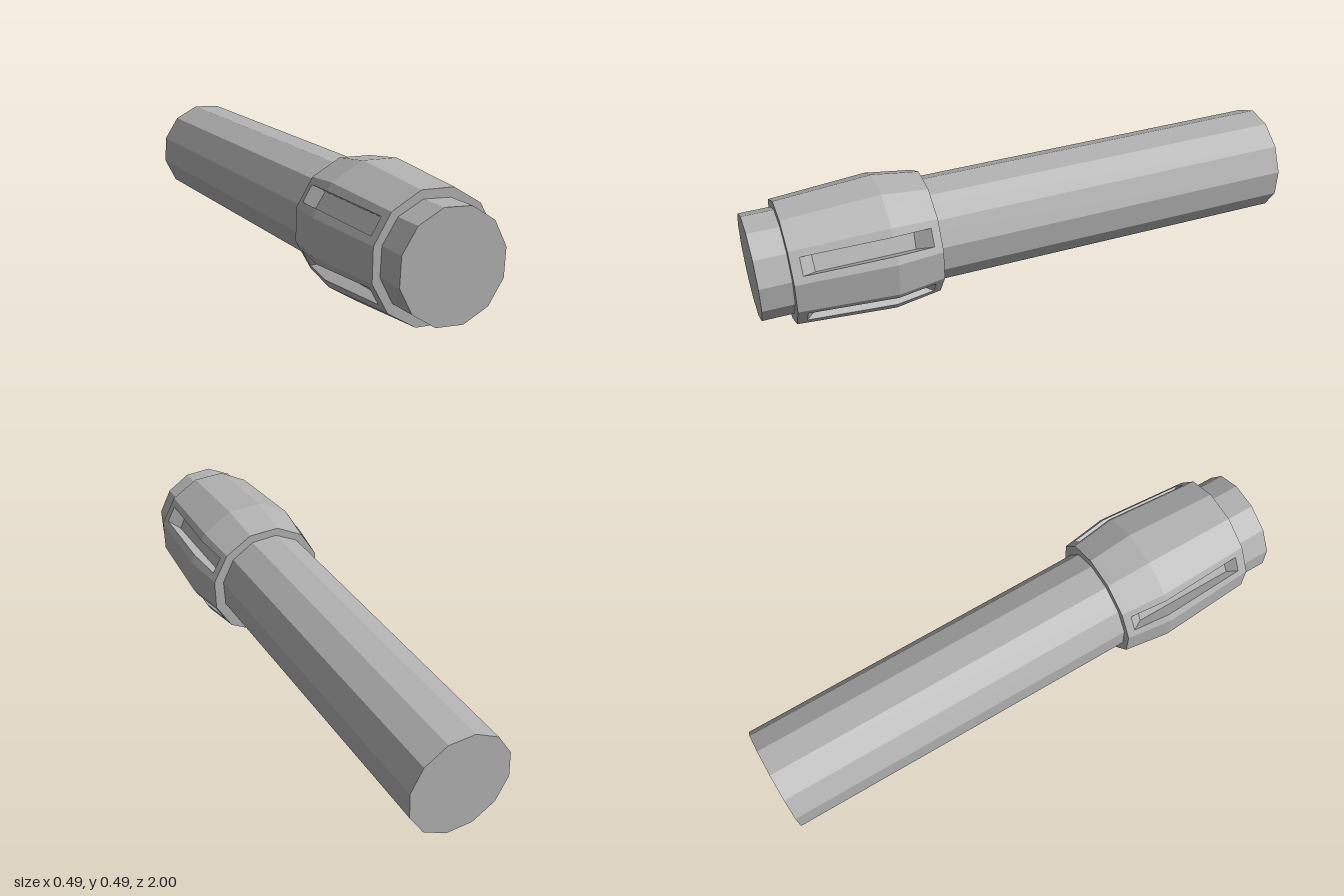
import * as THREE from 'three';

const rad = THREE.MathUtils.degToRad;

// Twelve-sided collar along z with four bevelled slots cut down to the shaft
function collarGeometry() {
  const sides = 12, firstEdge = 13.7, centreY = 0.2445;
  const rows = [[0.36, 0.227], [0.39, 0.2313], [0.53, 0.251], [0.85, 0.2294], [0.885, 0.227]];
  const slotted = [0, 4, 6, 10];
  const slotHalf = 0.033, floor = 0.18, innerRadius = 0.185;
  const innerZ = { 1: 0.45, 2: 0.53, 3: 0.8 };
  const cos = Math.cos(Math.PI / sides), tan = Math.tan(Math.PI / sides);
  const pos = [];

  for (let k = 0; k < sides; k++) {
    const a = rad(firstEdge + 360 / sides * (k + 0.5));
    const c = Math.cos(a), s = Math.sin(a);
    // n: distance out from the axis, t: distance along the side
    const P = (n, t, z) => [n * c - t * s, centreY + n * s + t * c, z];
    const quad = (p, q, r, u, flip) => {
      const v = flip ? [p, u, r, q] : [p, q, r, u];
      for (const i of [0, 1, 2, 0, 2, 3]) pos.push(...v[i]);
    };
    const isSlot = slotted.includes(k);

    // outer skin, left open over the slot
    for (let i = 0; i < rows.length - 1; i++) {
      const [z0, r0] = rows[i], [z1, r1] = rows[i + 1];
      const n0 = r0 * cos, n1 = r1 * cos, w0 = n0 * tan, w1 = n1 * tan;
      if (isSlot && (i === 1 || i === 2)) {
        const h = slotHalf;
        quad(P(n0, -w0, z0), P(n0, -h, z0), P(n1, -h, z1), P(n1, -w1, z1));
        quad(P(n0, h, z0), P(n0, w0, z0), P(n1, w1, z1), P(n1, h, z1));
        // long slot walls
        for (const side of [1, -1]) {
          quad(P(floor, side * h, innerZ[i]), P(n0, side * h, z0),
            P(n1, side * h, z1), P(floor, side * h, innerZ[i + 1]), side < 0);
        }
      } else {
        quad(P(n0, -w0, z0), P(n0, w0, z0), P(n1, w1, z1), P(n1, -w1, z1));
      }
    }

    // sloping slot ends
    if (isSlot) for (const i of [1, 3]) {
      const [z, r] = rows[i], h = slotHalf;
      quad(P(floor, -h, innerZ[i]), P(r * cos, -h, z), P(r * cos, h, z), P(floor, h, innerZ[i]), i === 3);
    }

    // flat end rings
    for (const i of [0, rows.length - 1]) {
      const [z, r] = rows[i], n = r * cos, m = innerRadius * cos;
      quad(P(m, -m * tan, z), P(n, -n * tan, z), P(n, n * tan, z), P(m, m * tan, z), i === 0);
    }
  }
  const g = new THREE.BufferGeometry();
  g.setAttribute('position', new THREE.Float32BufferAttribute(pos, 3));
  g.computeVertexNormals();
  return g;
}

export function createModel() {
  const model = new THREE.Group();
  model.name = 'slottedRod';
  const grey = new THREE.MeshStandardMaterial({ color: 0xb3b3b3, flatShading: true });
  grey.name = 'grey';

  // long plain shaft
  const shaftGeometry = new THREE.CylinderGeometry(0.193, 0.193, 2, 12);
  shaftGeometry.rotateX(Math.PI / 2);
  shaftGeometry.rotateZ(rad(12));
  const shaft = new THREE.Mesh(shaftGeometry, grey);
  shaft.name = 'shaft';
  shaft.position.set(-0.005, 0.247, 0);
  model.add(shaft);

  // bulging collar near the front
  const collar = new THREE.Mesh(collarGeometry(), grey);
  collar.name = 'slottedCollar';
  model.add(collar);
  return model;
}
